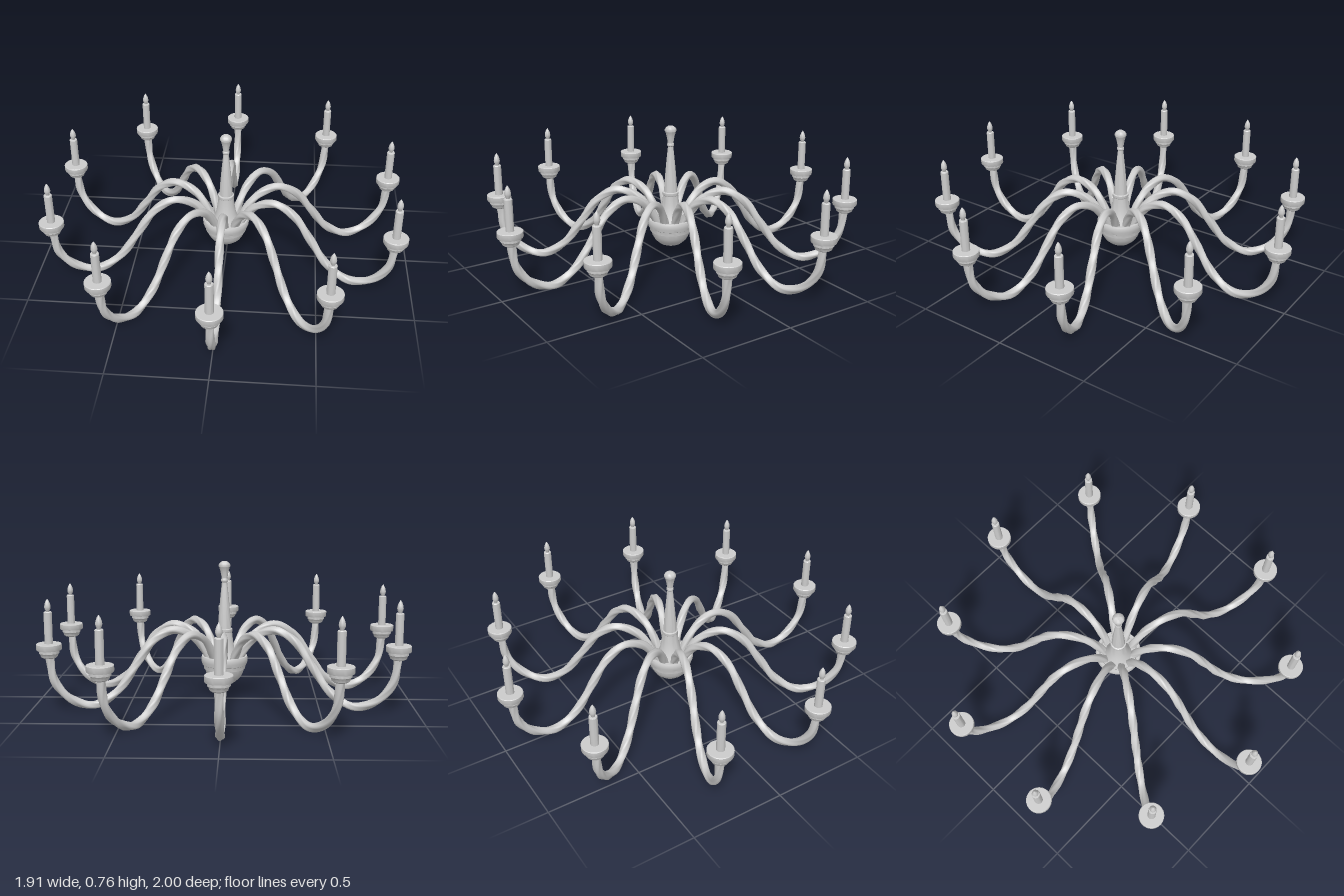
import * as THREE from 'three';
import { toCreasedNormals } from 'three/addons/utils/BufferGeometryUtils.js';

const ARMS = 10, CUP_R = 0.935;
const material = new THREE.MeshStandardMaterial({ color: 0xcccccc });

function mesh(name, geometry) {
  const m = new THREE.Mesh(geometry, material);
  m.name = name;
  return m;
}

// Turned part from [radius, height] pairs, listed bottom to top
function turned(name, profile, segments = 32) {
  const pts = profile.map(([r, y]) => new THREE.Vector2(r, y));
  return mesh(name, toCreasedNormals(new THREE.LatheGeometry(pts, segments), 0.6));
}

// Rounded-square bar swept along a curve in the xy plane while twisting
function twistedBar(curve, steps, turns, radius) {
  const sides = 16, pos = [], index = [];
  for (let i = 0; i <= steps; i++) {
    const t = i / steps, p = curve.getPointAt(t), d = curve.getTangentAt(t);
    for (let j = 0; j < sides; j++) {
      const a = (j / sides) * Math.PI * 2, b = a + t * turns * Math.PI * 2;
      const r = radius * (1 + 0.13 * Math.cos(4 * a));
      const u = Math.cos(b) * r, v = Math.sin(b) * r;
      pos.push(p.x - d.y * u, p.y + d.x * u, p.z + v);
      if (i < steps) {
        const k = i * sides + j, n = i * sides + (j + 1) % sides;
        index.push(k, n, k + sides, n, n + sides, k + sides);
      }
    }
  }
  const g = new THREE.BufferGeometry();
  g.setAttribute('position', new THREE.Float32BufferAttribute(pos, 3));
  g.setIndex(index);
  g.computeVertexNormals();
  return g;
}

export function createModel() {
  const model = new THREE.Group();
  model.name = 'chandelier';

  // Central bowl with stepped rim
  model.add(turned('hubBowl', [
    [0, 0.085], [0.03, 0.089], [0.06, 0.102], [0.085, 0.124], [0.1, 0.15], [0.106, 0.175],
    [0.112, 0.175], [0.114, 0.195], [0.119, 0.198], [0.125, 0.215], [0.126, 0.235],
    [0.122, 0.245], [0.106, 0.245], [0.1, 0.23], [0, 0.23],
  ], 40));

  // Tapering stem with collar and top knob
  model.add(turned('stem', [
    [0.075, 0.225], [0.066, 0.25], [0.054, 0.28], [0.046, 0.33], [0.041, 0.375],
    [0.043, 0.378], [0.043, 0.392], [0.036, 0.395], [0.031, 0.47], [0.024, 0.55],
    [0.017, 0.62], [0.014, 0.645], [0.018, 0.65], [0.018, 0.66], [0.015, 0.665],
    [0.021, 0.7], [0.028, 0.725], [0.031, 0.73], [0.031, 0.738], [0.025, 0.748],
    [0.014, 0.756], [0, 0.759],
  ]));

  // S-shaped arm path in radius and height
  const path = new THREE.CatmullRomCurve3([
    [0.07, 0.19], [0.105, 0.27], [0.175, 0.36], [0.285, 0.4], [0.39, 0.35], [0.485, 0.225],
    [0.585, 0.092], [0.71, 0.024], [0.83, 0.064], [0.912, 0.165], [CUP_R, 0.31],
  ].map(([x, y]) => new THREE.Vector3(x, y, 0)));
  const barGeometry = twistedBar(path, 96, 2, 0.0205);

  // Drip cup, candle and flame-shaped bulb share one set of geometries
  const lights = [
    turned('dripCup', [
      [0, 0.29], [0.032, 0.29], [0.042, 0.297], [0.047, 0.312], [0.052, 0.316], [0.052, 0.33],
      [0.063, 0.332], [0.065, 0.336], [0.065, 0.362], [0.062, 0.365], [0, 0.365],
    ]),
    turned('candle', [[0.021, 0.36], [0.021, 0.526], [0.018, 0.53], [0, 0.53]], 20),
    turned('flameBulb', [
      [0.008, 0.525], [0.01, 0.535], [0.015, 0.545], [0.0165, 0.555], [0.014, 0.57],
      [0.008, 0.585], [0, 0.597],
    ], 16),
  ];

  for (let i = 0; i < ARMS; i++) {
    const arm = new THREE.Group();
    arm.name = `arm${i + 1}`;
    arm.add(mesh('twistedBar', barGeometry));
    for (const part of lights) {
      const copy = part.clone();
      copy.position.x = CUP_R;
      arm.add(copy);
    }
    arm.rotation.y = Math.PI / 2 + (i / ARMS) * Math.PI * 2;
    model.add(arm);
  }
  return model;
}
